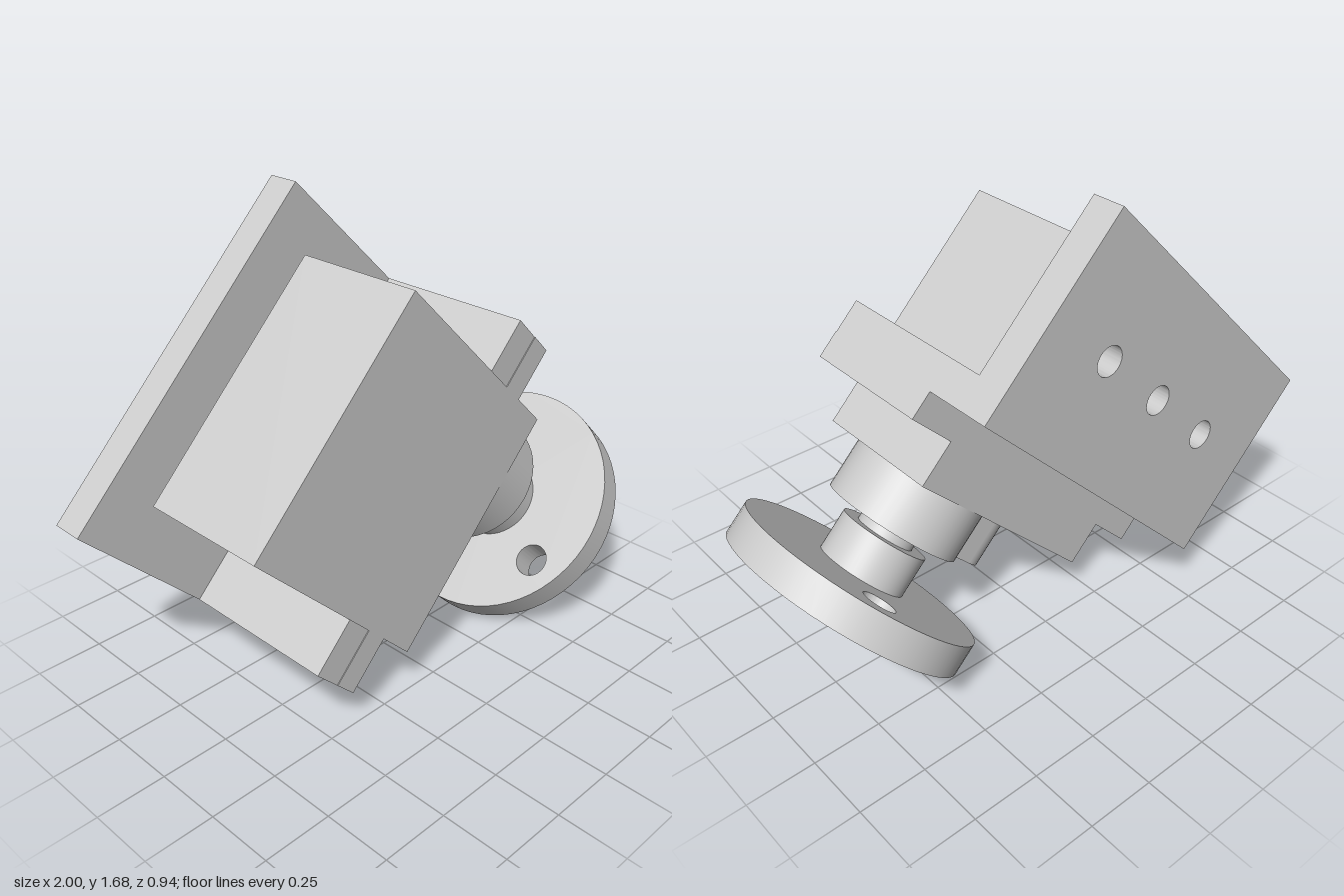
import * as THREE from 'three';
import { toCreasedNormals } from 'three/addons/utils/BufferGeometryUtils.js';

const material = new THREE.MeshStandardMaterial({ color: 0xcccccc });
const AXIS_X = 0.708, AXIS_Z = 0.02; // output shaft axis

export function createModel() {
  const model = new THREE.Group();
  model.name = 'servoAssembly';
  const tilted = new THREE.Group();
  tilted.name = 'tiltedServo';
  tilted.rotation.z = Math.PI / 4;
  model.add(tilted);

  function add(name, geometry) {
    const mesh = new THREE.Mesh(geometry, material);
    mesh.name = name;
    tilted.add(mesh);
    return mesh;
  }

  // Box given by its limits on each axis
  function box(name, x0, x1, y0, y1, z0, z1) {
    const mesh = add(name, new THREE.BoxGeometry(x1 - x0, y1 - y0, z1 - z0));
    mesh.position.set((x0 + x1) / 2, (y0 + y1) / 2, (z0 + z1) / 2);
  }

  // Cylinder along the shaft direction
  function cylinder(name, x, radius, y0, y1) {
    const mesh = add(name, new THREE.CylinderGeometry(radius, radius, y1 - y0, 48));
    mesh.position.set(x, (y0 + y1) / 2, AXIS_Z);
  }

  const rectangle = (x0, x1, y0, y1) => new THREE.Shape([
    new THREE.Vector2(x0, y0), new THREE.Vector2(x1, y0),
    new THREE.Vector2(x1, y1), new THREE.Vector2(x0, y1),
  ]);
  const circle = (x, y, r) => new THREE.Shape().absarc(x, y, r, 0, Math.PI * 2, false);

  // Drilled slab: holes are [x, y, radius]
  function drilled(shape, holes, depth) {
    for (const [x, y, r] of holes) {
      shape.holes.push(new THREE.Path().absarc(x, y, r, 0, Math.PI * 2, true));
    }
    const geometry = new THREE.ExtrudeGeometry(shape, { depth, bevelEnabled: false, curveSegments: 32 });
    return toCreasedNormals(geometry, 0.6);
  }

  // Slab drawn in the x-z plane, hanging down from yTop
  function drilledFlat(name, shape, holes, y0, yTop) {
    const geometry = drilled(shape, holes, yTop - y0).rotateX(Math.PI / 2);
    add(name, geometry).position.y = yTop;
  }

  // Servo body and its two drilled ears
  box('servoBody', 0.02, 0.956, 0.237, 1.147, -0.222, 0.265);
  drilledFlat('leftEar', rectangle(0.956, 1.156, -0.222, 0.265), [[1.05, AXIS_Z, 0.09]], 0.4, 0.497);
  drilledFlat('rightEar', rectangle(-0.184, 0.02, -0.222, 0.265), [[-0.075, AXIS_Z, 0.09]], 0.4, 0.497);

  // Angle bracket: flange around the body and drilled back plate
  box('bracketFlange', -0.184, 1.156, 0.497, 0.614, -0.47, 0.262);
  const plateHoles = [0.151, 0.486, 0.821].map((x) => [x, 0.863, 0.053]);
  add('bracketPlate', drilled(rectangle(-0.184, 1.156, 0.614, 1.23), plateHoles, 0.12)).position.z = -0.47;

  // Gear housing with its smaller lobe
  cylinder('gearHousing', AXIS_X, 0.244, 0.055, 0.237);
  cylinder('housingLobe', 0.385, 0.12, 0.055, 0.237);
  box('housingLobeBridge', 0.385, 0.52, 0.056, 0.237, AXIS_Z - 0.12, AXIS_Z + 0.12);

  // Output shaft, horn collar and drilled horn disc
  cylinder('outputShaft', AXIS_X, 0.105, 0, 0.055);
  const bore = [AXIS_X, AXIS_Z, 0.06];
  drilledFlat('hornCollar', circle(AXIS_X, AXIS_Z, 0.16), [bore], -0.137, 0.008);
  drilledFlat('hornDisc', circle(AXIS_X, AXIS_Z, 0.448),
    [bore, [AXIS_X - 0.168, 0.3, 0.06], [AXIS_X + 0.168, -0.257, 0.06]], -0.254, -0.137);

  return model;
}
